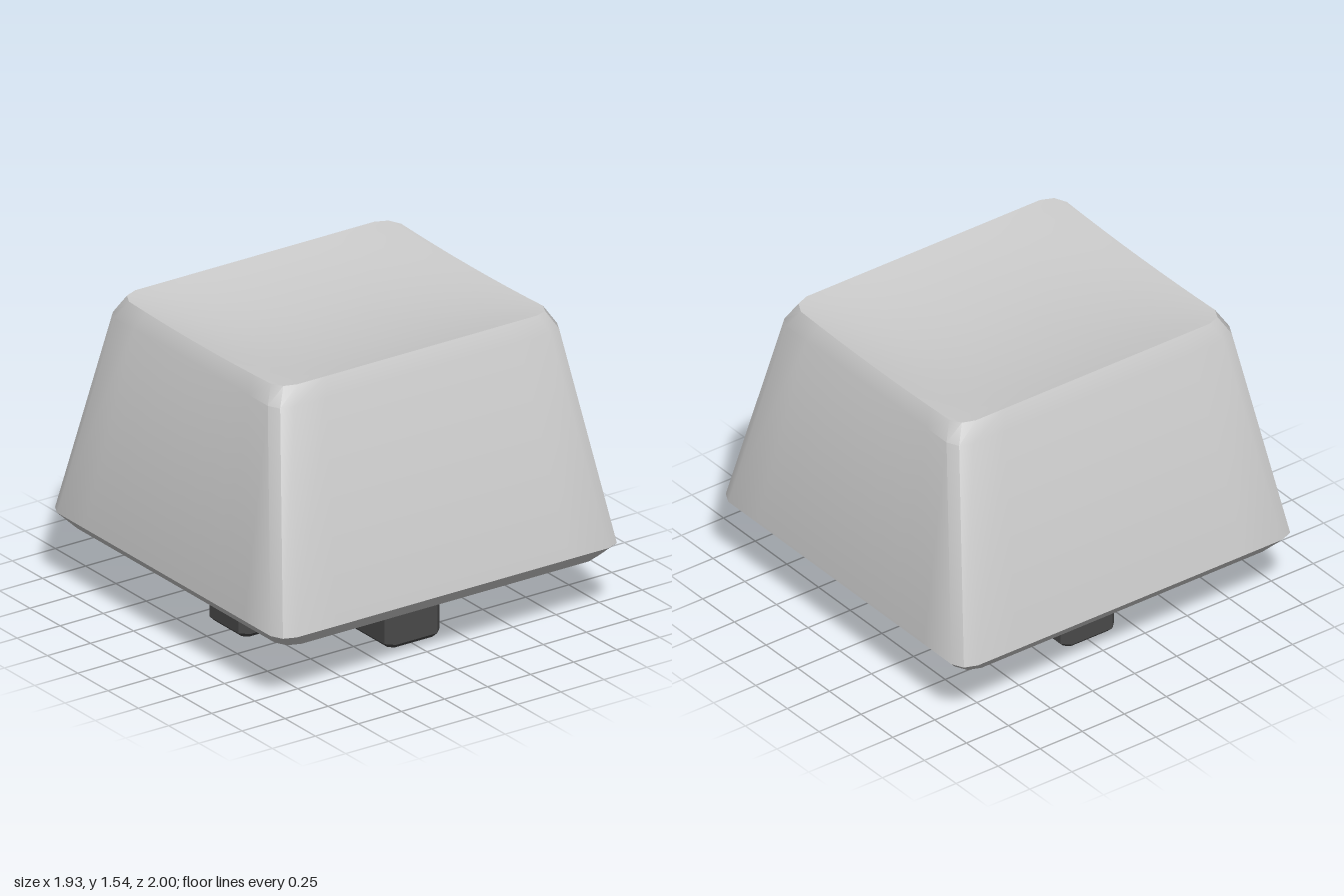
import * as THREE from 'three';
import { toCreasedNormals } from 'three/addons/utils/BufferGeometryUtils.js';

const SIDE_STEPS = 8;

// Rectangle outline with two-step soft corners, as [x, z] points running from +x towards +z
function outline(hx, hz) {
  const corner = [[0, 0.095], [0.025, 0.03], [0.085, 0]].map(([a, b]) => [hx - a, hz - b]);
  const flip = (pts, sx, sz) => pts.map(([x, z]) => [x * sx, z * sz]);
  const back = [...corner].reverse();
  const corners = [corner, flip(back, -1, 1), flip(corner, -1, -1), flip(back, 1, -1)];
  const pts = [];
  corners.forEach((c, i) => {
    pts.push(...c);
    const a = c[2], b = corners[(i + 1) % 4][0];
    for (let k = 1; k < SIDE_STEPS; k++) {
      const t = k / SIDE_STEPS;
      pts.push([a[0] + (b[0] - a[0]) * t, a[1] + (b[1] - a[1]) * t]);
    }
  });
  return pts;
}

// Skin a list of rings; the first and last rings are collapsed to points
function loft(rings) {
  const n = rings[0].length, index = [];
  for (let i = 0; i < rings.length - 1; i++) {
    for (let j = 0; j < n; j++) {
      const a = i * n + j, b = i * n + (j + 1) % n, c = b + n, d = a + n;
      if (i > 0) index.push(a, d, b);
      if (i < rings.length - 2) index.push(b, d, c);
      else if (i === 0) index.push(a, d, c);
    }
  }
  const geo = new THREE.BufferGeometry();
  geo.setAttribute('position', new THREE.Float32BufferAttribute(rings.flat(2), 3));
  geo.setIndex(index);
  return toCreasedNormals(geo, 0.6);
}

// Hollow shell: ceiling, inner wall, rim, outer wall and dished top in one skin
function capGeometry() {
  const level = (hx, hz, y) => outline(hx, hz).map(([x, z]) => [x, y, z]);
  const topX = 0.67, topZ = 0.79;
  const dish = (s) => outline(topX, topZ).map(([px, pz]) => {
    const x = px * s, z = pz * s;
    const u = 1 - (x / topX) ** 2, w = 1 - (z / topZ) ** 4;
    return [x, 1.54 - 0.016 * u - 0.045 * u * w, z];
  });
  const ceiling = level(0.66, 0.69, 0.59);
  return loft([
    ceiling.map(() => [0, 0.59, 0]),
    ceiling,
    level(0.75, 0.78, 0.56),
    level(0.82, 0.85, 0.46),
    level(0.86, 0.89, 0.31),
    level(0.9, 0.93, 0.31),
    level(0.965, 1.0, 0.385),
    level(0.715, 0.84, 1.45),
    ...[1, 0.93, 0.85, 0.75, 0.6, 0.4, 0.2, 0].map(dish),
  ]);
}

// Upright bar with chamfered edges
function barGeometry(width, depth, bottom, top) {
  const c = 0.025, x = width / 2 - c, z = depth / 2 - c;
  const shape = new THREE.Shape([
    [x, -z + c], [x, z - c], [x - c, z], [-x + c, z],
    [-x, z - c], [-x, -z + c], [-x + c, -z], [x - c, -z],
  ].map(([px, pz]) => new THREE.Vector2(px, pz)));
  const geo = new THREE.ExtrudeGeometry(shape, {
    depth: top - bottom - 2 * c, bevelEnabled: true,
    bevelSize: c, bevelThickness: c, bevelSegments: 1,
  });
  return geo.rotateX(-Math.PI / 2).translate(0, bottom + c, 0);
}

export function createModel() {
  const model = new THREE.Group();
  model.name = 'keycap';

  const cap = new THREE.Mesh(capGeometry(), new THREE.MeshStandardMaterial({ color: 0xcccccc }));
  cap.name = 'cap';
  model.add(cap);

  // Cross-shaped stem under the cap
  const dark = new THREE.MeshStandardMaterial({ color: 0x4a4a4a });
  const stem = new THREE.Group();
  stem.name = 'stem';
  const crossBar = new THREE.Mesh(barGeometry(1.33, 0.32, 0.01, 0.62), dark);
  crossBar.name = 'stemCrossBar';
  const lengthBar = new THREE.Mesh(barGeometry(0.32, 1.31, 0, 0.62), dark);
  lengthBar.name = 'stemLengthBar';
  lengthBar.position.set(-0.015, 0, -0.015);
  stem.add(crossBar, lengthBar);
  model.add(stem);

  return model;
}
